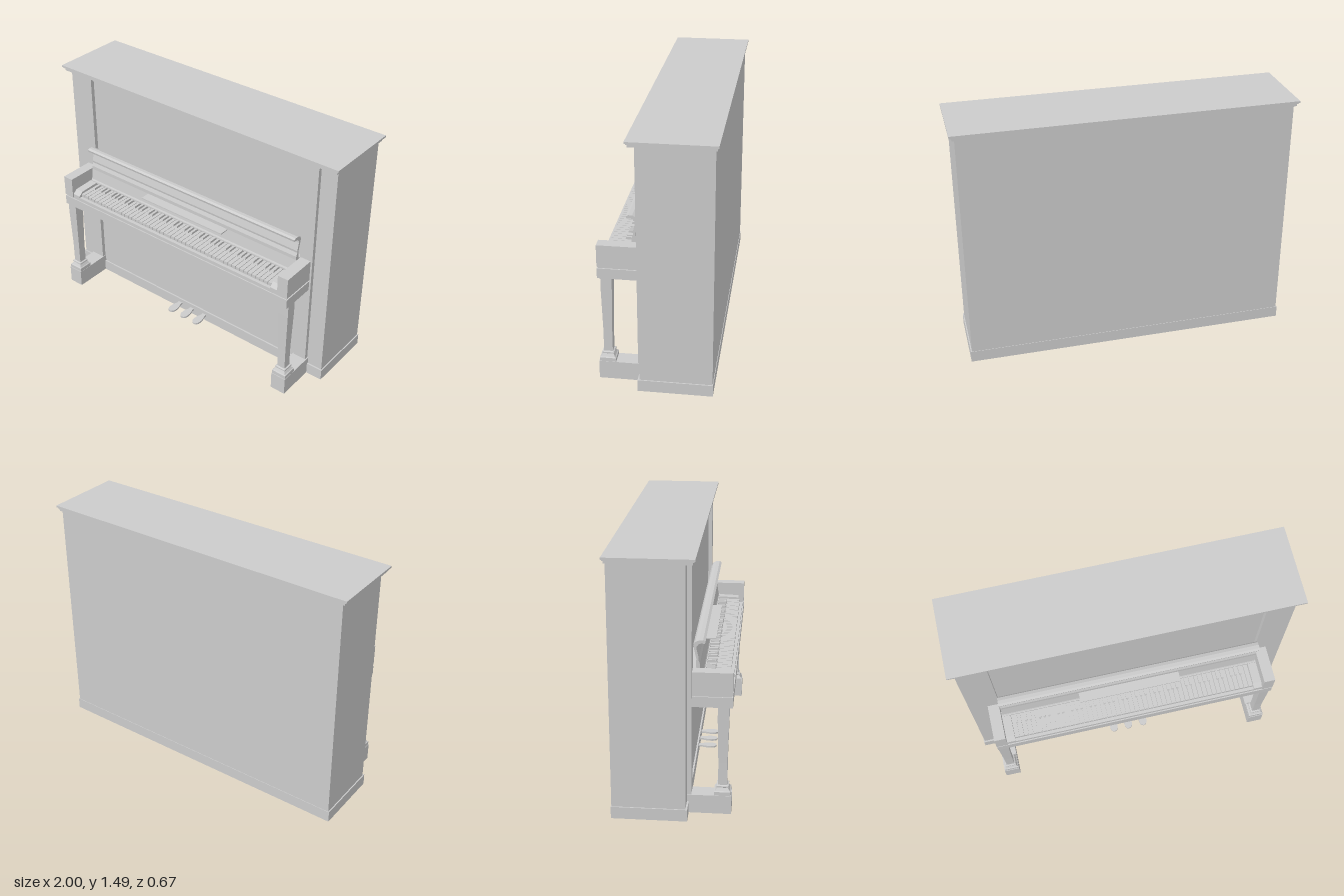
import * as THREE from 'three';

const grey = new THREE.MeshStandardMaterial({ color: 0xcccccc, flatShading: true });
const greyDouble = new THREE.MeshStandardMaterial({ color: 0xcccccc, flatShading: true, side: THREE.DoubleSide });

function add(parent, name, geometry, material = grey) {
  const mesh = new THREE.Mesh(geometry, material);
  mesh.name = name;
  parent.add(mesh);
  return mesh;
}

// Box given by its lower and upper limits on each axis
function boxGeo(x0, x1, y0, y1, z0, z1) {
  return new THREE.BoxGeometry(x1 - x0, y1 - y0, z1 - z0)
    .translate((x0 + x1) / 2, (y0 + y1) / 2, (z0 + z1) / 2);
}
const box = (parent, name, ...limits) => add(parent, name, boxGeo(...limits));

// Hollow box without its bottom face
function shell(parent, name, ...limits) {
  const g = boxGeo(...limits);
  const index = Array.from(g.index.array);
  index.splice(18, 6);
  g.setIndex(index);
  g.clearGroups();
  return add(parent, name, g, greyDouble);
}

// Side profile of [z, y] points, extruded across x
function acrossX(points, x0, x1) {
  const shape = new THREE.Shape(points.map(([z, y]) => new THREE.Vector2(-z, y)));
  return new THREE.ExtrudeGeometry(shape, { depth: x1 - x0, bevelEnabled: false })
    .rotateY(Math.PI / 2).translate(x0, 0, 0);
}

// Square turned column of [half width, y] points, centred on x, z
function squareColumn(parent, name, profile, x, z) {
  const pts = profile.map(([r, y]) => new THREE.Vector2(r * Math.SQRT2, y));
  return add(parent, name, new THREE.LatheGeometry(pts, 4, Math.PI / 4).translate(x, 0, z), greyDouble);
}

function buildCase(group) {
  shell(group, 'case', -0.97, 0.97, 0, 1.455, -0.317, 0.09);
  // Plinth as a rectangular frame around the case
  const rect = (x, a, b, S) => new S([[-x, a], [x, a], [x, b], [-x, b]].map(p => new THREE.Vector2(...p)));
  const ring = rect(0.977, -0.1, 0.32, THREE.Shape);
  ring.holes.push(rect(0.969, -0.09, 0.316, THREE.Path));
  add(group, 'plinth', new THREE.ExtrudeGeometry(ring, { depth: 0.07, bevelEnabled: false }).rotateX(-Math.PI / 2));
  // Lid with a stepped moulding below
  box(group, 'lidMoulding', -0.985, 0.985, 1.452, 1.466, -0.325, 0.13);
  box(group, 'lidUnderstep', -0.993, 0.993, 1.466, 1.474, -0.33, 0.136);
  box(group, 'lid', -1, 1, 1.474, 1.485, -0.335, 0.142);
}

function buildSide(group, s) {
  const side = new THREE.Group();
  side.name = s > 0 ? 'leftSupport' : 'rightSupport';
  group.add(side);
  const span = (a, b) => (s > 0 ? [a, b] : [-b, -a]);
  // Pilaster with a small capital
  box(side, 'pilaster', ...span(0.785, 0.868), 0.11, 1.452, 0.088, 0.114);
  box(side, 'pilasterNeck', ...span(0.781, 0.872), 1.432, 1.442, 0.088, 0.118);
  box(side, 'pilasterCapital', ...span(0.776, 0.877), 1.442, 1.453, 0.088, 0.123);
  // Leg on its floor block
  shell(side, 'legBlock', ...span(0.78, 0.875), 0, 0.11, 0.09, 0.335);
  squareColumn(side, 'leg', [
    [0.046, 0.11], [0.046, 0.132], [0.04, 0.136], [0.03, 0.152], [0.034, 0.155],
    [0.034, 0.163], [0.025, 0.167], [0.025, 0.3], [0.031, 0.56], [0.031, 0.635],
  ], s * 0.827, 0.285);
  // Arm and the key block beside the keys
  box(side, 'arm', ...span(0.79, 0.857), 0.7, 0.83, 0.088, 0.335);
  const cheek = acrossX([[0.14, 0.7], [0.328, 0.7], [0.328, 0.722], [0.3, 0.745], [0.14, 0.75]], ...span(0.738, 0.79));
  add(side, 'keyBlock', cheek);
}

function buildKeys(group) {
  const keys = new THREE.Group();
  keys.name = 'keyboard';
  group.add(keys);
  const pitch = 1.474 / 52;
  for (let i = 0; i < 52; i++) {
    const x = -0.737 + i * pitch;
    box(keys, 'whiteKey', x + 0.0015, x + pitch - 0.0015, 0.714, 0.734, 0.15, 0.31);
    // Black keys in groups of two and three
    if (i < 51 && [0, 2, 3, 5, 6].includes(i % 7)) {
      const c = x + pitch;
      add(keys, 'blackKey', acrossX([[0.15, 0.73], [0.228, 0.73], [0.222, 0.748], [0.15, 0.748]], c - 0.007, c + 0.007));
    }
  }
}

function buildKeybed(group) {
  box(group, 'keybed', -0.857, 0.857, 0.63, 0.69, 0.088, 0.335);
  box(group, 'keybedGroove', -0.85, 0.85, 0.69, 0.7, 0.088, 0.328);
  box(group, 'keyRest', -0.79, 0.79, 0.7, 0.712, 0.088, 0.328);
  // Fallboard: upright lower board and curved lip
  add(group, 'fallboard', acrossX([
    [0.088, 0.75], [0.168, 0.75], [0.162, 0.76], [0.152, 0.828], [0.152, 0.85], [0.143, 0.872],
    [0.145, 0.885], [0.133, 0.935], [0.133, 0.948], [0.142, 0.96], [0.156, 0.967], [0.178, 0.965],
    [0.181, 0.978], [0.168, 0.985], [0.147, 0.984], [0.126, 0.975], [0.115, 0.957],
    [0.118, 0.94], [0.132, 0.88], [0.13, 0.83], [0.088, 0.828],
  ], -0.785, 0.785));
  box(group, 'fallboardStrip', -0.785, 0.785, 0.744, 0.753, 0.088, 0.172);
  box(group, 'musicLedge', -0.312, 0.302, 0.821, 0.828, 0.148, 0.212);
}

function buildPedals(group) {
  // Rounded paddle outline, wider toward the tip
  const outline = new THREE.Shape();
  outline.moveTo(-0.014, -0.08);
  outline.lineTo(-0.014, -0.12);
  outline.bezierCurveTo(-0.03, -0.15, -0.034, -0.21, 0, -0.21);
  outline.bezierCurveTo(0.034, -0.21, 0.03, -0.15, 0.014, -0.12);
  outline.lineTo(0.014, -0.08);
  for (const x of [-0.108, -0.01, 0.09]) {
    const g = new THREE.ExtrudeGeometry(outline, { depth: 0.011, bevelEnabled: false, curveSegments: 6 });
    add(group, 'pedal', g.rotateX(-Math.PI / 2).translate(x, 0.035, 0));
  }
}

export function createModel() {
  const model = new THREE.Group();
  model.name = 'uprightPiano';
  buildCase(model);
  for (const s of [-1, 1]) buildSide(model, s);
  buildKeybed(model);
  buildKeys(model);
  buildPedals(model);
  return model;
}
